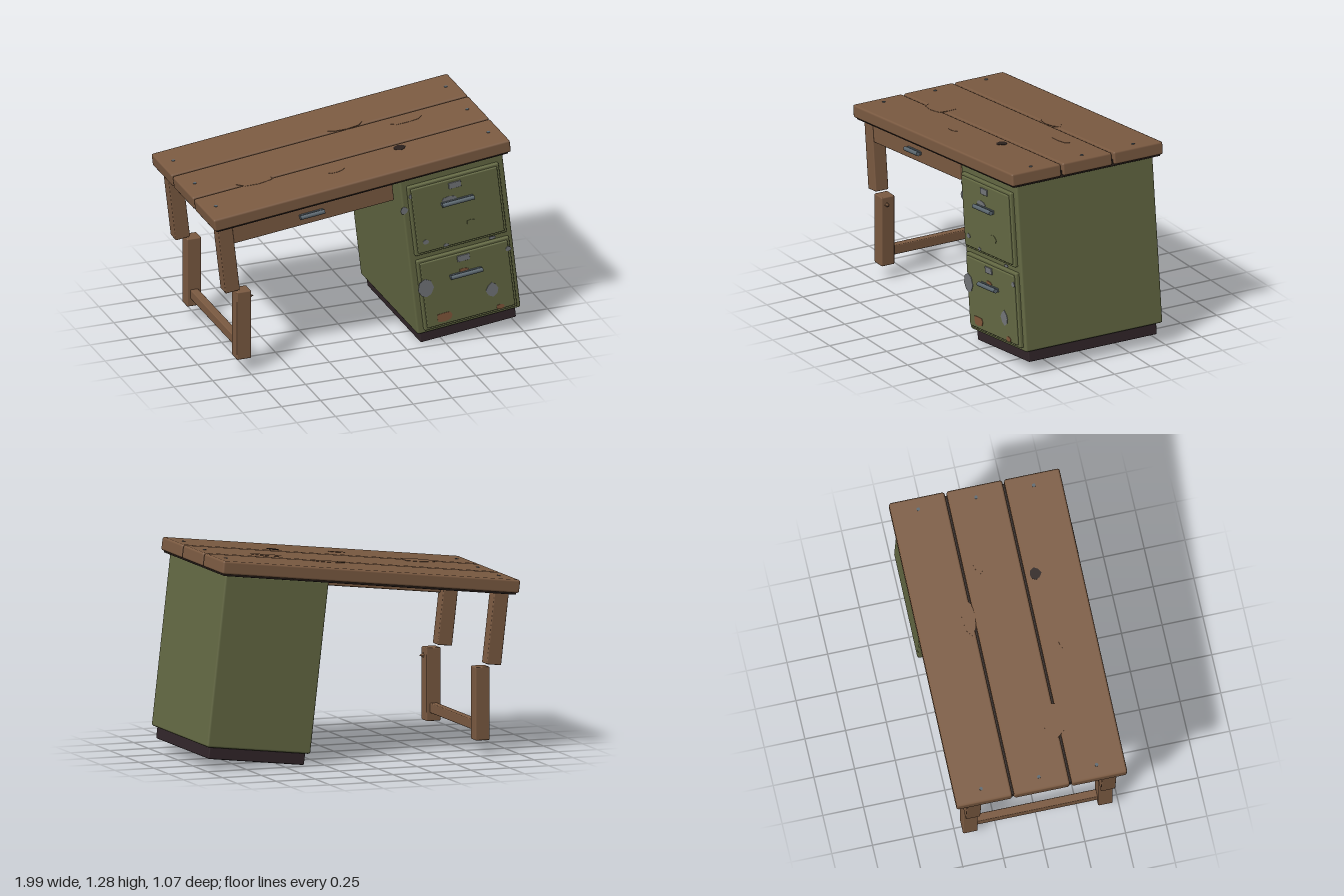
import * as THREE from 'three';
import { RoundedBoxGeometry } from 'three/addons/geometries/RoundedBoxGeometry.js';

const TILT = 0.114; // the broken legs let the whole desk lean

export function createModel() {
  const mat = (name, color) => {
    const m = new THREE.MeshStandardMaterial({ color });
    m.name = name;
    return m;
  };
  const wood = mat('wood', 0x7c5b42);
  const green = mat('greenMetal', 0x656a44);
  const dark = mat('darkBase', 0x32262a);
  const shadowWood = mat('darkUnderside', 0x2b211d);
  const steel = mat('steel', 0x5c6870);
  const bare = mat('bareMetal', 0x74777a);
  const rust = mat('rust', 0x83593c);

  const root = new THREE.Group();
  root.name = 'brokenDesk';
  const desk = new THREE.Group();
  desk.name = 'tiltedDesk';
  desk.rotation.z = TILT;
  root.add(desk);

  const add = (parent, name, geo, material) => {
    const m = new THREE.Mesh(geo, material);
    m.name = name;
    parent.add(m);
    return m;
  };
  // Bevelled box given by its minimum and maximum on each axis
  const box = (parent, name, material, [x0, x1], [y0, y1], [z0, z1], r = 0.01) => {
    const geo = new RoundedBoxGeometry(x1 - x0, y1 - y0, z1 - z0, 1, r);
    geo.translate((x0 + x1) / 2, (y0 + y1) / 2, (z0 + z1) / 2);
    return add(parent, name, geo, material);
  };

  let seed = 7;
  const rand = () => (seed = (seed * 16807) % 2147483647) / 2147483647;
  // Thin, irregular chip lying in the xy plane
  const chipGeo = (rx, ry, n = 8) => {
    const pts = [];
    for (let i = 0; i < n; i++) {
      const a = (i / n) * Math.PI * 2;
      const k = 0.78 + 0.3 * rand();
      pts.push(new THREE.Vector2(Math.cos(a) * rx * k, Math.sin(a) * ry * k));
    }
    return new THREE.ExtrudeGeometry(new THREE.Shape(pts), { depth: 0.004, bevelEnabled: false });
  };

  // Table top: three planks over an inset dark backing
  const planks = [[0.172, 0.513], [-0.182, 0.16], [-0.535, -0.194]];
  planks.forEach((z) => box(desk, 'topPlank', wood, [-0.871, 1.048], [1.087, 1.168], z, 0.013));
  box(desk, 'topBacking', shadowWood, [-0.855, 1.032], [1.076, 1.12], [-0.52, 0.498], 0.004);

  // Nails at both ends of every plank
  for (const x of [-0.79, 0.974]) {
    for (const z of [0.34, -0.015, -0.37]) {
      const nail = add(desk, 'nail', new THREE.CylinderGeometry(0.011, 0.011, 0.008, 8), steel);
      nail.position.set(x, 1.167, z);
    }
  }

  // Chips, knots and a hole on the table top
  const topChips = [
    [-0.46, 0.14, 0.125, 0.08, wood], [0.255, -0.215, 0.115, 0.045, wood],
    [0.61, -0.09, 0.1, 0.042, wood], [0.0, 0.305, 0.052, 0.027, wood],
    [0.438, 0.23, 0.04, 0.038, shadowWood],
  ];
  for (const [x, z, rx, rz, m] of topChips) {
    const chip = add(desk, 'topChip', chipGeo(rx, rz), m);
    chip.rotation.x = -Math.PI / 2;
    chip.position.set(x, 1.166, z);
  }

  // Bar handle on two posts
  const handle = (x, y, z, len) => {
    const g = new THREE.Group();
    g.name = 'handle';
    g.position.set(x, y, z);
    desk.add(g);
    box(g, 'handlePlate', steel, [-len / 2, len / 2], [-0.012, 0.012], [-0.004, 0.005], 0.003);
    for (const s of [-1, 1]) {
      const post = add(g, 'handlePost', new THREE.CylinderGeometry(0.009, 0.012, 0.024, 8), steel);
      post.rotation.x = Math.PI / 2;
      post.position.set(s * len * 0.38, 0, 0.011);
    }
    const bar = add(g, 'handleBar', new THREE.CylinderGeometry(0.014, 0.014, len, 8), steel);
    bar.rotation.z = Math.PI / 2;
    bar.position.z = 0.021;
  };

  // Wooden apron drawer under the top
  box(desk, 'apronDrawer', wood, [-0.742, 0.296], [0.949, 1.085], [0.415, 0.455], 0.008);
  handle(-0.236, 1.013, 0.457, 0.155);

  // Filing cabinet and its plinth
  box(desk, 'cabinet', green, [0.337, 1.007], [0.031, 1.081], [-0.485, 0.466], 0.014);
  box(desk, 'plinth', dark, [0.36, 0.98], [-0.041, 0.06], [-0.455, 0.435], 0.008);

  // Two drawers with a stepped front, a label plate and a handle
  const drawers = [[0.376, 0.968, 0.559, 1.026, 0.864, 0.97], [0.378, 0.978, 0.056, 0.526, 0.376, 0.477]];
  for (const [x0, x1, y0, y1, hy, ly] of drawers) {
    box(desk, 'drawerRim', green, [x0, x1], [y0, y1], [0.45, 0.488], 0.008);
    const i = 0.017;
    box(desk, 'drawerFront', green, [x0 + i, x1 - i], [y0 + i, y1 - i], [0.46, 0.5], 0.007);
    box(desk, 'labelPlate', bare, [0.63, 0.71], [ly - 0.02, ly + 0.02], [0.498, 0.507], 0.003);
    handle(0.673, hy, 0.501, 0.205);
  }

  // Bare metal and rust patches on the drawer fronts
  const patches = [
    [0.392, 0.962, 0.018, 0.018, 0.488, bare], [0.346, 0.871, 0.025, 0.028, 0.465, bare],
    [0.625, 0.885, 0.055, 0.022, 0.499, bare], [0.446, 0.644, 0.02, 0.016, 0.499, bare],
    [0.571, 0.589, 0.018, 0.012, 0.499, bare], [0.868, 0.549, 0.025, 0.012, 0.488, bare],
    [0.958, 0.455, 0.02, 0.018, 0.499, bare], [0.411, 0.335, 0.05, 0.065, 0.499, bare],
    [0.83, 0.217, 0.045, 0.05, 0.499, bare], [0.748, 0.69, 0.035, 0.028, 0.499, green],
    [0.507, 0.123, 0.055, 0.033, 0.499, rust], [0.866, 0.092, 0.03, 0.018, 0.499, rust],
    [0.665, 0.395, 0.035, 0.016, 0.499, rust],
  ];
  for (const [x, y, rx, ry, z, m] of patches) {
    add(desk, 'paintPatch', chipGeo(rx, ry), m).position.set(x, y, z);
  }

  // Snapped legs: upper stumps lean with the desk, lower pieces stand upright
  for (const z of [[0.37, 0.46], [-0.46, -0.37]]) {
    box(desk, 'upperLeg', wood, [-0.834, -0.74], [0.638, 1.087], z, 0.007);
    box(root, 'lowerLeg', wood, [-0.828, -0.736], [0.09, 0.535], z, 0.007);
  }
  box(root, 'stretcher', wood, [-0.807, -0.757], [0.14, 0.2], [-0.38, 0.38], 0.006);

  // Splinter on the front lower leg
  const splinter = add(root, 'splinter', new THREE.ConeGeometry(0.022, 0.04, 4), wood);
  splinter.rotation.z = -Math.PI / 2;
  splinter.position.set(-0.728, 0.485, 0.425);

  return root;
}
